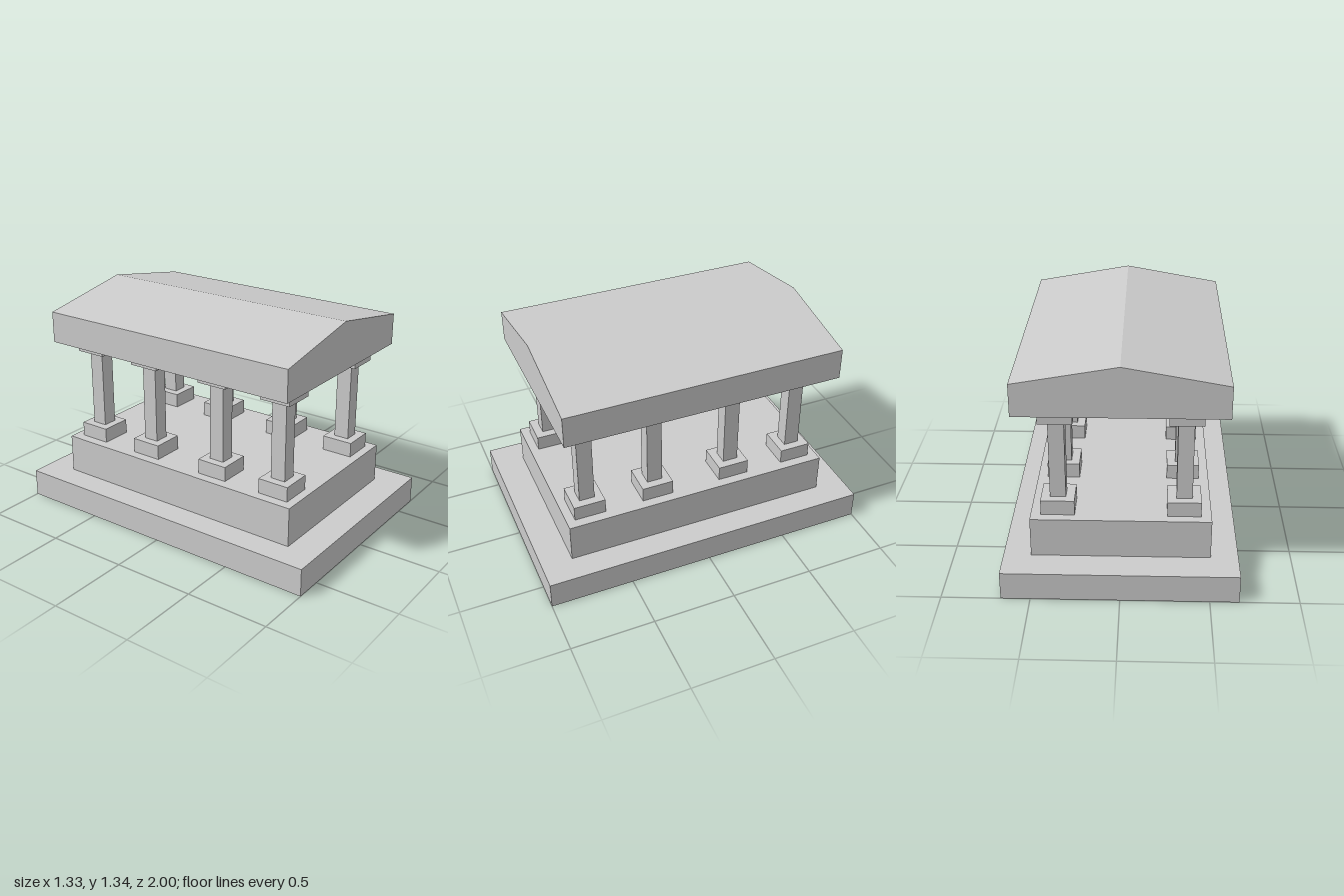
import * as THREE from 'three';

const solid = new THREE.MeshStandardMaterial({ color: 0xcccccc, flatShading: true });
const shell = new THREE.MeshStandardMaterial({ color: 0xcccccc, flatShading: true, side: THREE.DoubleSide });

// Box of width w and depth d reaching from height y0 to y1
function block(name, w, d, y0, y1, material = solid) {
  const geometry = new THREE.BoxGeometry(w, y1 - y0, d);
  geometry.translate(0, (y0 + y1) / 2, 0);
  const mesh = new THREE.Mesh(geometry, material);
  mesh.name = name;
  return mesh;
}

// Thin-walled block without an underside
function openBlock(name, w, d, y0, y1) {
  const mesh = block(name, w, d, y0, y1, shell);
  const index = Array.from(mesh.geometry.index.array);
  index.splice(18, 6); // the downward face
  mesh.geometry.setIndex(index);
  mesh.geometry.clearGroups();
  return mesh;
}

// Square shaft between a plinth and a capital
function column(x, z) {
  const group = new THREE.Group();
  group.name = 'column';
  group.add(
    block('columnBase', 0.19, 0.19, 0.403, 0.492),
    block('columnShaft', 0.09, 0.092, 0.492, 0.97),
    block('columnCapital', 0.19, 0.19, 0.97, 1.05)
  );
  group.position.set(x, 0, z);
  return group;
}

// Low gabled roof, extruded along z
function roof() {
  const gable = new THREE.Shape([
    new THREE.Vector2(-0.584, 1.05),
    new THREE.Vector2(0.584, 1.05),
    new THREE.Vector2(0.584, 1.238),
    new THREE.Vector2(0, 1.342),
    new THREE.Vector2(-0.584, 1.238)
  ]);
  const length = 1.666;
  const geometry = new THREE.ExtrudeGeometry(gable, { depth: length, bevelEnabled: false });
  geometry.translate(0, 0, -length / 2);
  const mesh = new THREE.Mesh(geometry, solid);
  mesh.name = 'roof';
  return mesh;
}

export function createModel() {
  const model = new THREE.Group();
  model.name = 'temple';

  // Stepped platform, hollow below; the upper step hangs down into the lower
  model.add(
    openBlock('lowerStep', 1.33, 2, 0, 0.167),
    openBlock('upperStep', 1.016, 1.632, 0.075, 0.403)
  );

  // Two rows of four columns
  for (const x of [-0.355, 0.355]) {
    for (const z of [-0.666, -0.246, 0.248, 0.67]) model.add(column(x, z));
  }

  model.add(roof());
  return model;
}
